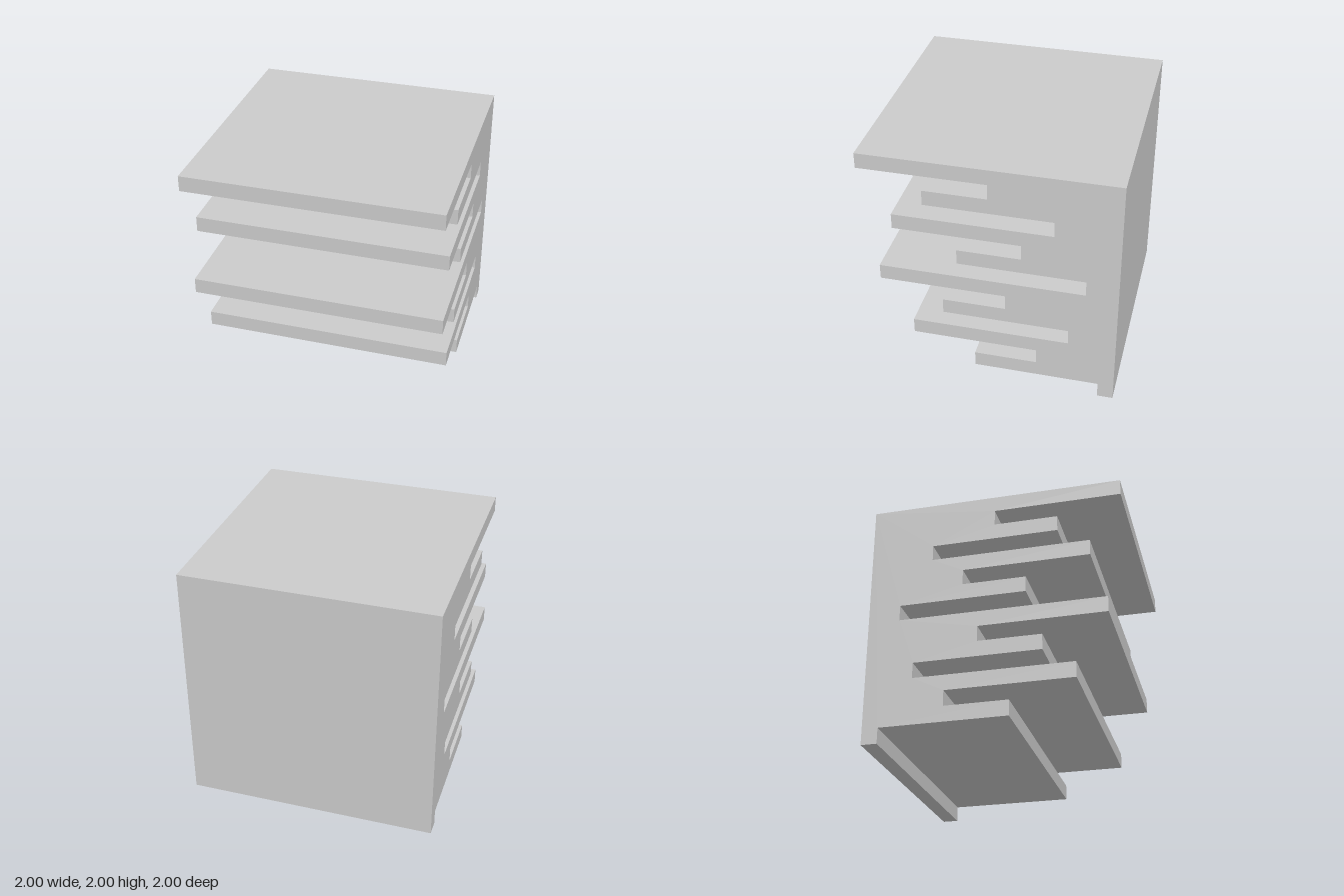
import * as THREE from 'three';

const ROWS = 16;
const BITS = 4;
const SIZE = 2;

// Reverse the bits of a row number: gives the order of the slab depths
function reverseBits(n) {
  let r = 0;
  for (let b = 0; b < BITS; b++) r = (r << 1) | ((n >> b) & 1);
  return r;
}

export function createModel() {
  const group = new THREE.Group();
  group.name = 'steppedBlock';

  // Side profile (z, y): flat back, then a front edge stepping row by row from the top
  const step = SIZE / ROWS;
  const profile = new THREE.Shape();
  profile.moveTo(-1, 0);
  for (let i = ROWS - 1; i >= 0; i--) {
    const z = 1 - reverseBits(i) * step;
    const top = SIZE - i * step;
    profile.lineTo(z, top - step);
    profile.lineTo(z, top);
  }
  profile.lineTo(-1, SIZE);
  profile.closePath();

  // Extrude the profile across the full width, then turn its depth axis to z
  const geometry = new THREE.ExtrudeGeometry(profile, { depth: SIZE, bevelEnabled: false });
  geometry.translate(0, 0, -SIZE / 2);
  geometry.rotateY(-Math.PI / 2);

  const material = new THREE.MeshStandardMaterial({ color: 0xcccccc, flatShading: true });
  const slabs = new THREE.Mesh(geometry, material);
  slabs.name = 'slabStack';
  group.add(slabs);
  return group;
}
